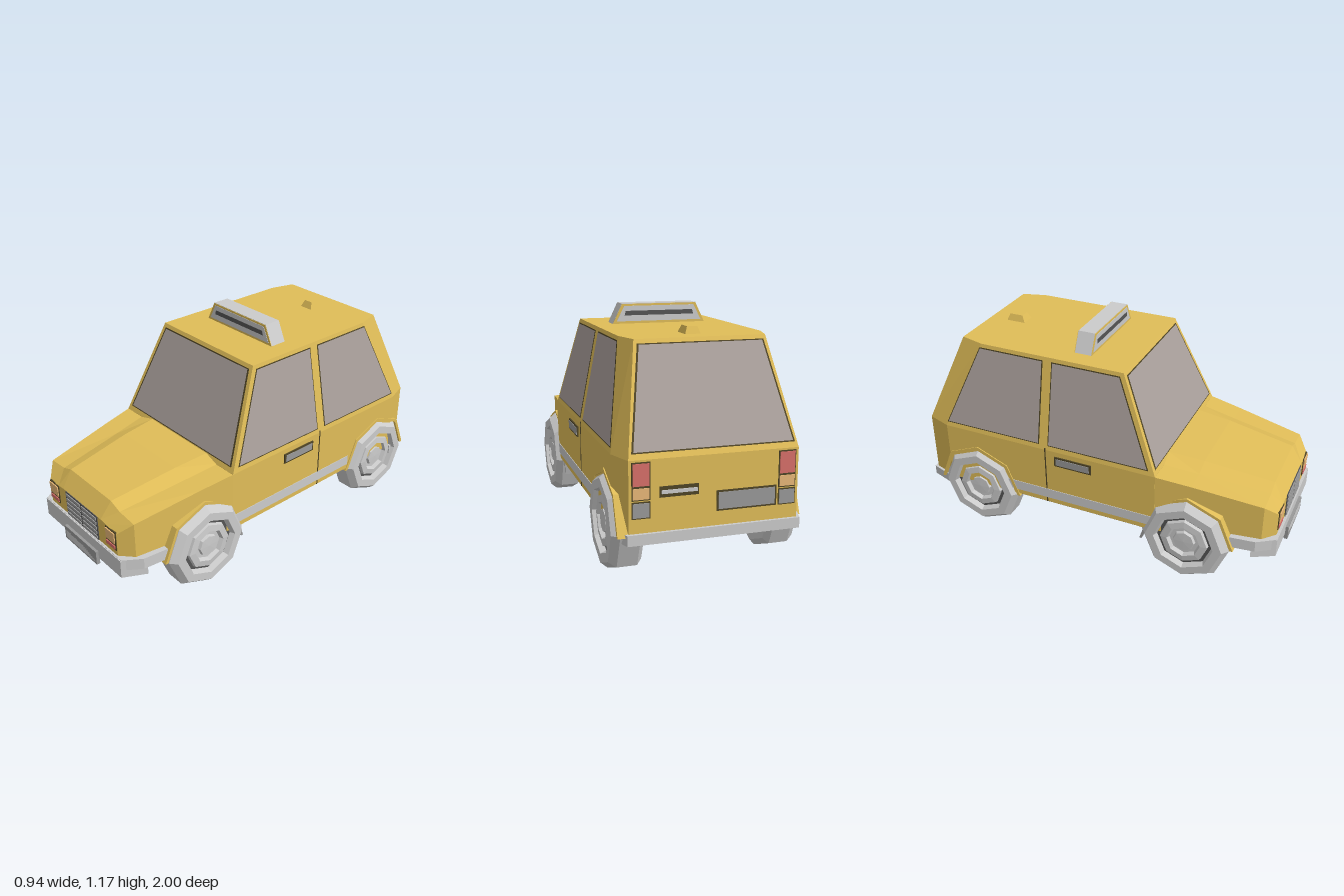
import * as THREE from 'three';

const mat = (color) => new THREE.MeshStandardMaterial({ color, flatShading: true, side: THREE.DoubleSide });
const M = {
  paint: mat(0xe0bd58), glass: mat(0xaaa09c), grey: mat(0xcccccc), mid: mat(0x999999),
  dark: mat(0x555555), trim: mat(0x4f4526), amber: mat(0xe8b878), red: mat(0xd8706a), floor: mat(0x777777),
};

export function createModel() {
  const car = new THREE.Group();
  car.name = 'car';

  function add(name, geometry, material, x = 0, y = 0, z = 0) {
    const mesh = new THREE.Mesh(geometry, material);
    mesh.name = name;
    mesh.position.set(x, y, z);
    car.add(mesh);
    return mesh;
  }
  const box = (name, material, w, h, d, x, y, z) => add(name, new THREE.BoxGeometry(w, h, d), material, x, y, z);

  // Skin over rings of equal point count, capped at both ends
  function loft(rings) {
    const n = rings[0].length, idx = [];
    for (let r = 0; r < rings.length - 1; r++) {
      for (let i = 0; i < n; i++) {
        const a = r * n + i, b = r * n + (i + 1) % n;
        idx.push(a, b, b + n, a, b + n, a + n);
      }
    }
    const last = (rings.length - 1) * n;
    for (let i = 1; i < n - 1; i++) idx.push(0, i + 1, i, last, last + i, last + i + 1);
    const g = new THREE.BufferGeometry();
    g.setAttribute('position', new THREE.Float32BufferAttribute(rings.flat(2), 3));
    g.setIndex(idx);
    g.computeVertexNormals();
    return g;
  }
  // Completes a half ring with its mirror image across x = 0
  const mirrored = (half) => [...half, ...half.map(([x, y, z]) => [-x, y, z]).reverse()];

  // Four-cornered panel laid just outside the body
  function panel(name, material, pts, push = 0.004, grow = 1) {
    const v = pts.map((p) => new THREE.Vector3(...p));
    const c = v.reduce((s, p) => s.add(p), new THREE.Vector3()).multiplyScalar(0.25);
    const normal = v[1].clone().sub(v[0]).cross(v[2].clone().sub(v[0])).normalize();
    const flip = normal.dot(c.clone().sub(new THREE.Vector3(0, 0.5, 0))) < 0;
    if (flip) { normal.negate(); v.reverse(); }
    v.forEach((p) => p.sub(c).multiplyScalar(grow).add(c).addScaledVector(normal, push));
    const g = new THREE.BufferGeometry().setFromPoints(v);
    g.setIndex([0, 1, 2, 0, 2, 3]);
    g.computeVertexNormals();
    return add(name, g, material);
  }
  function windowPane(name, pts) {
    panel(name + 'Frame', M.trim, pts, 0.002, 1.025);
    panel(name, M.glass, pts, 0.004);
  }

  // Cabin and rear body
  const plan = (y, pts) => mirrored(pts.map(([x, z]) => [x, y, z]));
  const waist = [[0.445, 0.37], [0.445, -0.85], [0.4, -0.98]];
  add('cabin', loft([
    plan(0.25, waist), plan(0.58, waist),
    plan(1.07, [[0.35, 0.16], [0.35, -0.64], [0.315, -0.77]]),
  ]), M.paint);

  // Bonnet with raised centre
  const section = (z, pts) => mirrored(pts.map(([x, y]) => [x, y, z]));
  add('bonnet', loft([
    section(0.36, [[0.445, 0.25], [0.445, 0.58], [0.32, 0.58], [0.23, 0.6]]),
    section(0.55, [[0.417, 0.25], [0.417, 0.555], [0.295, 0.555], [0.215, 0.585]]),
    section(0.91, [[0.365, 0.25], [0.365, 0.5], [0.25, 0.51], [0.18, 0.535]]),
    section(0.97, [[0.3, 0.25], [0.3, 0.435], [0.215, 0.445], [0.17, 0.45]]),
  ]), M.paint);
  add('floor', loft([0.245, 0.252].map((y) =>
    plan(y, [[0.3, 0.96], [0.36, 0.9], [0.44, 0.36], [0.44, -0.85], [0.395, -0.975]]))), M.floor);

  // Windows
  const sideX = (y) => 0.445 - 0.194 * (y - 0.58);
  const frontZ = (y) => 0.37 - 0.43 * (y - 0.58);
  const rearZ = (y) => -0.98 + 0.43 * (y - 0.58);
  const lo = 0.61, hi = 1.045;
  const endPane = (name, zAt, wLo, wHi) => windowPane(name,
    [[-wLo, lo, zAt(lo)], [wLo, lo, zAt(lo)], [wHi, hi, zAt(hi)], [-wHi, hi, zAt(hi)]]);
  endPane('windscreen', frontZ, 0.41, 0.325);
  endPane('rearWindow', rearZ, 0.375, 0.295);

  for (const s of [1, -1]) {
    const sidePane = (name, z0, z1, z2, z3) => windowPane(name,
      [[s * sideX(lo), lo, z0], [s * sideX(hi), hi, z1], [s * sideX(hi), hi, z2], [s * sideX(lo), lo, z3]]);
    sidePane('frontSideWindow', 0.325, 0.14, -0.225, -0.225);
    sidePane('rearSideWindow', -0.285, -0.285, -0.645, -0.835);

    // Door seam, handle and sill strip
    box('doorSeam', M.trim, 0.004, 0.34, 0.006, s * 0.445, 0.42, -0.245);
    box('handleSurround', M.trim, 0.012, 0.055, 0.21, s * 0.446, 0.525, -0.085);
    box('doorHandle', M.mid, 0.016, 0.038, 0.19, s * 0.447, 0.525, -0.085);
    box('sillStrip', M.grey, 0.006, 0.055, 0.86, s * 0.445, 0.305, -0.06);

    // Headlamps
    box('headlampSurround', M.trim, 0.085, 0.105, 0.012, s * 0.255, 0.39, 0.968);
    box('headlampUpper', M.grey, 0.074, 0.03, 0.016, s * 0.255, 0.392, 0.97).material = M.amber;
    box('headlampLens', M.amber, 0.074, 0.028, 0.02, s * 0.255, 0.423, 0.97);
    box('indicator', M.red, 0.074, 0.02, 0.018, s * 0.255, 0.355, 0.97);

    // Tail lamps
    const lamps = [['tailLamp', M.red, 0.515, 0.1], ['rearIndicator', M.amber, 0.43, 0.05], ['reverseLamp', M.mid, 0.355, 0.065]];
    for (const [name, m, y, h] of lamps) {
      box(name + 'Surround', M.trim, 0.084, h + 0.012, 0.012, s * 0.345, y, -0.977);
      box(name, m, 0.074, h, 0.016, s * 0.345, y, -0.979);
    }

    // Flap behind the front wheel
    const flap = box('mudFlap', M.mid, 0.14, 0.11, 0.012, s * 0.355, 0.21, 0.305);
    flap.rotation.x = 0.3;
  }

  // Grille with two columns of slats
  box('grille', M.dark, 0.285, 0.14, 0.012, 0, 0.38, 0.968);
  for (const s of [1, -1]) {
    for (let i = 0; i < 5; i++) box('grilleSlat', M.mid, 0.128, 0.016, 0.014, s * 0.071, 0.326 + i * 0.027, 0.972);
  }

  // Wrap-around bumpers
  function bumper(name, outer, inner, yTop, height) {
    const loop = [...outer, ...outer.map(([x, z]) => [-x, z]).reverse(),
      ...inner.map(([x, z]) => [-x, z]), ...[...inner].reverse()];
    const g = new THREE.ExtrudeGeometry(new THREE.Shape(loop.map((p) => new THREE.Vector2(...p))),
      { depth: height, bevelEnabled: false });
    add(name, g.rotateX(Math.PI / 2), M.grey, 0, yTop, 0);
  }
  bumper('frontBumperEnds', [[0.415, 0.76], [0.4, 0.89], [0.34, 0.98]], [[0.35, 0.76], [0.34, 0.87], [0.29, 0.93]], 0.31, 0.06);
  bumper('frontBumper', [[0.4, 0.87], [0.34, 0.985]], [[0.34, 0.87], [0.29, 0.93]], 0.308, 0.1);
  bumper('rearBumper', [[0.455, -0.86], [0.41, -0.995]], [[0.4, -0.86], [0.36, -0.94]], 0.25, 0.05);

  // Blank plates and tailgate handle
  box('frontPlate', M.mid, 0.29, 0.077, 0.02, 0, 0.212, 0.99);
  box('frontPlateFace', M.grey, 0.27, 0.06, 0.006, 0, 0.212, 0.997);
  box('rearPlateSurround', M.trim, 0.29, 0.095, 0.01, -0.15, 0.365, -0.978);
  box('rearPlate', M.mid, 0.272, 0.078, 0.014, -0.15, 0.365, -0.979);
  box('tailgateHandleSurround', M.trim, 0.18, 0.05, 0.01, 0.17, 0.43, -0.978);
  box('tailgateHandle', M.grey, 0.165, 0.016, 0.018, 0.17, 0.43, -0.98);

  // Roof sign
  const sign = (name, m, z0, z1, w0, w1, y0, y1) => add(name, loft([z0, z1].map((z) =>
    section(z, [[w0, y0], [w1, y1]]))), m);
  sign('roofSign', M.grey, -0.153, -0.062, 0.25, 0.2, 1.065, 1.172);
  for (const [z, d] of [[-0.062, 1], [-0.153, -1]]) {
    const face = (name, m, t, ...dims) => sign(name, m, Math.min(z, z + d * t), Math.max(z, z + d * t), ...dims);
    face('signFrame', M.paint, 0.003, 0.248, 0.199, 1.07, 1.17);
    face('signFace', M.grey, 0.005, 0.228, 0.188, 1.082, 1.16);
    face('signSlot', M.dark, 0.007, 0.186, 0.18, 1.112, 1.135);
  }

  // Small roof knob
  const square = (y, w, z0, z1) => plan(y, [[w, z0], [w, z1]]);
  add('roofKnob', loft([square(1.065, 0.04, -0.56, -0.67), square(1.105, 0.025, -0.58, -0.655)]), M.paint);

  // Eight-sided wheels and their arches
  const lathe = (pts) => new THREE.LatheGeometry(pts.map((p) => new THREE.Vector2(...p)), 8);
  const tyre = lathe([[0, -0.08], [0.205, -0.08], [0.235, -0.055], [0.235, 0.04], [0.205, 0.075], [0.16, 0.075], [0.148, 0.045]]);
  const gap = lathe([[0.148, 0.045], [0.13, 0.045]]);
  const rim = lathe([[0.13, 0.045], [0.125, 0.062], [0.09, 0.066], [0.08, 0.045], [0.06, 0.045], [0.055, 0.06], [0, 0.062]]);
  const arc = (r) => [0, 1, 2, 3, 4].map((i) =>
    new THREE.Vector2(r * Math.cos(i * Math.PI / 4), r * Math.sin(i * Math.PI / 4)));
  const arch = new THREE.ExtrudeGeometry(new THREE.Shape([...arc(0.252), ...arc(0.234).reverse()]),
    { depth: 0.1, bevelEnabled: false }).translate(0, 0, -0.05).rotateY(-Math.PI / 2);

  for (const [name, s, z, archX] of [['frontLeft', 1, 0.535, 0.38], ['frontRight', -1, 0.535, 0.38],
    ['rearLeft', 1, -0.73, 0.4], ['rearRight', -1, -0.665, 0.4]]) {
    const wheel = new THREE.Group();
    wheel.name = name + 'Wheel';
    for (const [part, g, m] of [['tyre', tyre, M.grey], ['rimGap', gap, M.dark], ['rim', rim, M.grey]]) {
      const mesh = new THREE.Mesh(g, m);
      mesh.name = part;
      wheel.add(mesh);
    }
    wheel.rotation.z = -s * Math.PI / 2;
    wheel.position.set(s * 0.393, 0.235, z);
    car.add(wheel);
    add(name + 'Arch', arch, M.paint, s * archX, 0.235, z);
  }
  return car;
}
